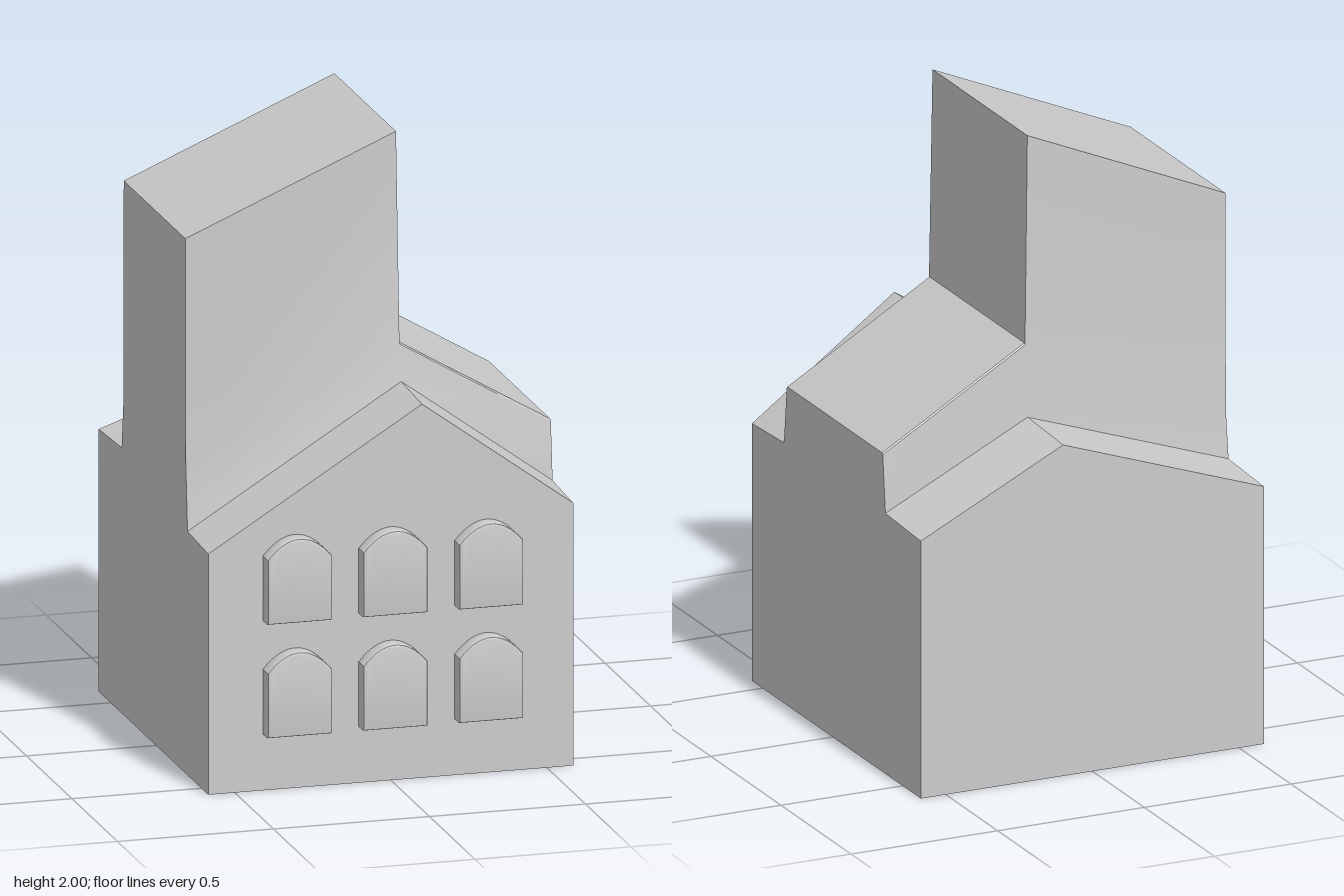
import * as THREE from 'three';
import { toCreasedNormals } from 'three/addons/utils/BufferGeometryUtils.js';

const W = 0.585; // half width of the house
const RIDGE = 0.1; // x of the off-centre ridge

// Cross-section of the building at depth z: left eave, tower top, ridge, right eave heights
function section(z, left, top, ridge, right) {
  const topX = top > ridge ? 0.09 : RIDGE;
  return [[-W, 0], [W, 0], [W, right], [RIDGE, ridge], [topX, top], [-W, left]]
    .map(([x, y]) => new THREE.Vector3(x, y, z));
}

// Skin the cross-sections from back to front and cap both ends
function loft(sections) {
  const pos = [];
  const tri = (a, b, c) => {
    const area = b.clone().sub(a).cross(c.clone().sub(a)).length();
    if (area > 1e-7) for (const p of [a, b, c]) pos.push(p.x, p.y, p.z);
  };
  const n = sections[0].length;
  for (let i = 0; i < sections.length - 1; i++) {
    const a = sections[i], b = sections[i + 1];
    for (let j = 0; j < n; j++) {
      const k = (j + 1) % n;
      tri(a[j], a[k], b[k]);
      tri(a[j], b[k], b[j]);
    }
  }
  const back = sections[0], front = sections[sections.length - 1];
  for (let j = 1; j < n - 1; j++) {
    tri(back[0], back[j + 1], back[j]);
    tri(front[0], front[j], front[j + 1]);
  }
  const geo = new THREE.BufferGeometry();
  geo.setAttribute('position', new THREE.Float32BufferAttribute(pos, 3));
  return toCreasedNormals(geo, 0.3);
}

// Arched window block with softened edges, sill at y = 0
function windowGeometry() {
  const b = 0.006, w = 0.103 - b, spring = 0.205, top = 0.268 - b;
  const s = new THREE.Shape();
  s.moveTo(-w, b);
  s.lineTo(w, b);
  s.lineTo(w, spring);
  s.quadraticCurveTo(w * 0.5, top, 0, top);
  s.quadraticCurveTo(-w * 0.5, top, -w, spring);
  s.closePath();
  const geo = new THREE.ExtrudeGeometry(s, {
    depth: 0.064, bevelEnabled: true, bevelSize: b, bevelThickness: b, bevelSegments: 2, curveSegments: 8,
  });
  return toCreasedNormals(geo, 0.6);
}

export function createModel() {
  const model = new THREE.Group();
  model.name = 'house';
  const material = new THREE.MeshStandardMaterial({ color: 0xcccccc });

  // House with low gables at each end, a raised roof and a tall slanted tower between
  const body = new THREE.Mesh(loft([
    section(-0.63, 0.84, 1.08, 1.08, 0.84),
    section(-0.377, 0.85, 1.09, 1.09, 0.85),
    section(-0.358, 1.0, 1.32, 1.32, 1.035),
    section(-0.354, 1.71, 2.0, 1.325, 1.04),
    section(0.323, 1.71, 2.0, 1.325, 1.04),
    section(0.327, 1.0, 1.32, 1.32, 1.035),
    section(0.347, 0.78, 1.205, 1.205, 0.85),
    section(0.575, 0.77, 1.195, 1.195, 0.84),
  ]), material);
  body.name = 'houseBody';
  model.add(body);

  // Two rows of three windows on the front wall
  const geo = windowGeometry();
  for (const y of [0.18, 0.543]) {
    for (const x of [-0.307, 0, 0.307]) {
      const win = new THREE.Mesh(geo, material);
      win.name = 'window';
      win.position.set(x, y, 0.56);
      model.add(win);
    }
  }
  return model;
}
